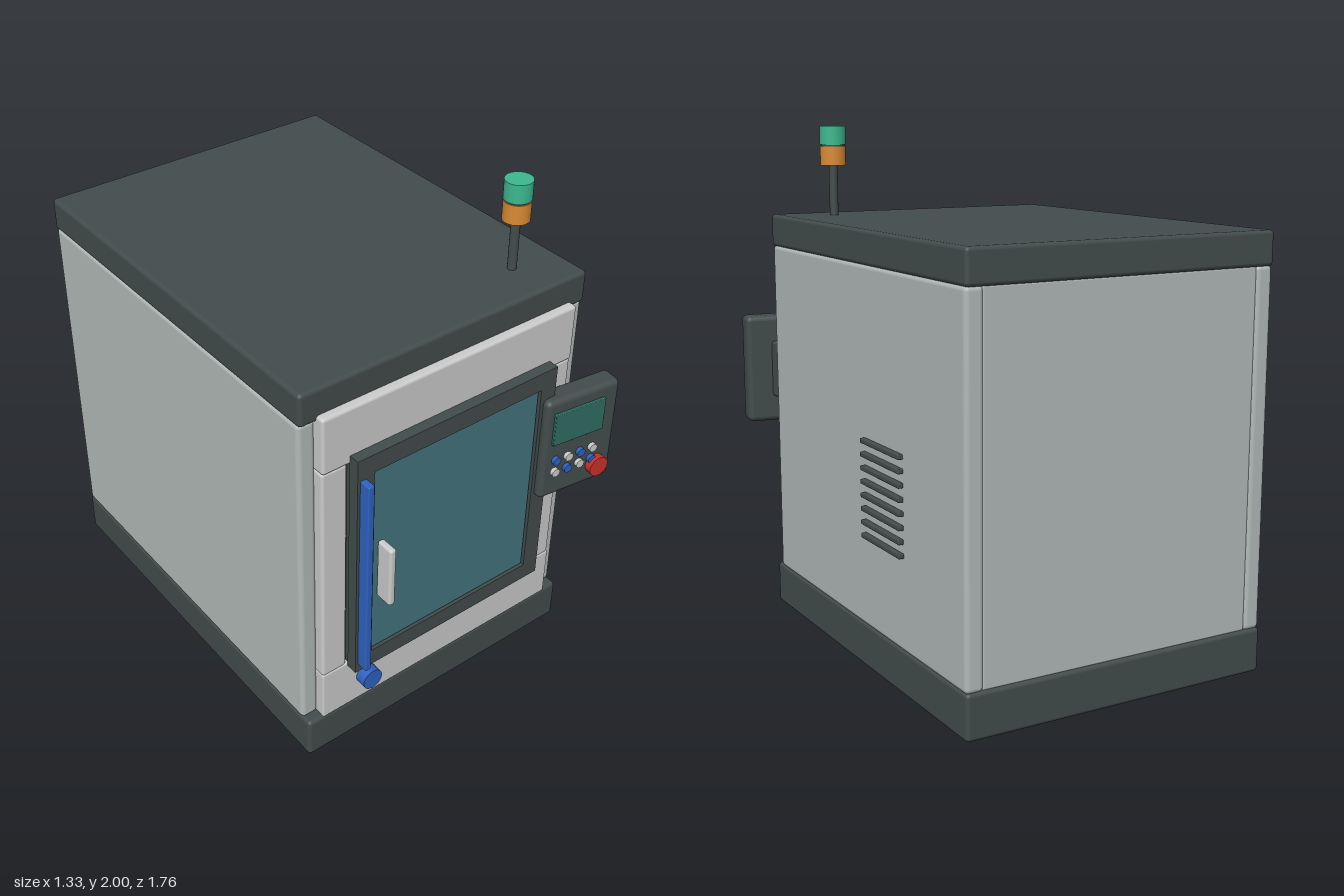
import * as THREE from 'three';
import { RoundedBoxGeometry } from 'three/addons/geometries/RoundedBoxGeometry.js';

const mat = (color) => new THREE.MeshStandardMaterial({ color });
const DARK = mat(0x434c4c), PANEL = mat(0xb2bab8), FRONT = mat(0xc8cac8), BLUE = mat(0x2f62c0),
  WHITE = mat(0xe0e0dc), GLASS = mat(0x43747f), SCREEN = mat(0x2e6b60), RED = mat(0xc8302a),
  GREEN = mat(0x3cb88e), ORANGE = mat(0xd98a34), BLACK = mat(0x222626);

export function createModel() {
  const root = new THREE.Group();

  const add = (name, geometry, material, parent = root) => {
    const mesh = new THREE.Mesh(geometry, material);
    mesh.name = name;
    parent.add(mesh);
    return mesh;
  };
  // box given by its limits on each axis, with rounded edges when r > 0
  const box = (name, [x0, x1], [y0, y1], [z0, z1], material, r = 0.012, parent = root) => {
    const size = [x1 - x0, y1 - y0, z1 - z0];
    const geometry = r > 0 ? new RoundedBoxGeometry(...size, 3, r) : new THREE.BoxGeometry(...size);
    const mesh = add(name, geometry, material, parent);
    mesh.position.set((x0 + x1) / 2, (y0 + y1) / 2, (z0 + z1) / 2);
    return mesh;
  };
  const upright = (name, x, z, y0, y1, r, material) => {
    const mesh = add(name, new THREE.CylinderGeometry(r, r, y1 - y0, 32), material);
    mesh.position.set(x, (y0 + y1) / 2, z);
  };
  // round button whose axis points to the front
  const button = (name, x, y, z0, z1, r, material, parent = root) => {
    const mesh = add(name, new THREE.CylinderGeometry(r, r, z1 - z0, 28).rotateX(Math.PI / 2), material, parent);
    mesh.position.set(x, y, (z0 + z1) / 2);
  };

  // base, feet and lid
  box('base', [-0.67, 0.57], [0.02, 0.19], [-0.88, 0.74], DARK, 0.015);
  box('lid', [-0.67, 0.57], [1.525, 1.652], [-0.88, 0.71], DARK, 0.015);
  for (const x of [-0.53, 0.425])
    for (const z of [-0.66, 0.63]) upright('foot', x, z, 0, 0.03, 0.053, BLACK);

  // cabinet walls
  box('core', [-0.62, 0.52], [0.18, 1.54], [-0.84, 0.69], PANEL, 0);
  box('leftSidePanel', [0.5, 0.57], [0.185, 1.53], [-0.875, 0.7], PANEL, 0.018);
  box('rightSidePanel', [-0.67, -0.6], [0.185, 1.53], [-0.875, 0.7], PANEL, 0.018);
  box('backPanel', [-0.605, 0.505], [0.185, 1.53], [-0.868, -0.8], PANEL, 0.01);

  // front fascia around the door
  box('header', [-0.605, 0.502], [1.325, 1.55], [0.62, 0.743], FRONT);
  box('lowerPanel', [-0.605, 0.502], [0.185, 0.4], [0.62, 0.74], FRONT, 0.006);
  box('frontPost', [-0.605, -0.5], [0.395, 1.327], [0.62, 0.738], FRONT);
  box('frontPost', [0.395, 0.502], [0.395, 1.327], [0.62, 0.738], FRONT);
  box('doorBacking', [-0.505, 0.4], [0.395, 1.33], [0.66, 0.72], DARK, 0);

  // door frame with a window opening
  const frame = new THREE.Shape([[-0.495, 0.388], [0.392, 0.388], [0.392, 1.36], [-0.495, 1.36]]
    .map(([x, y]) => new THREE.Vector2(x, y)));
  frame.holes.push(new THREE.Path([[-0.423, 0.458], [-0.423, 1.286], [0.322, 1.286], [0.322, 0.458]]
    .map(([x, y]) => new THREE.Vector2(x, y))));
  const door = add('doorFrame', new THREE.ExtrudeGeometry(frame, {
    depth: 0.045, bevelEnabled: false }), DARK);
  door.position.z = 0.74;
  box('doorSeal', [-0.49, 0.387], [0.395, 1.355], [0.71, 0.742], DARK, 0);
  box('window', [-0.417, 0.316], [0.464, 1.278], [0.74, 0.776], GLASS, 0);
  box('lightStrip', [-0.21, 0.105], [1.277, 1.286], [0.74, 0.77], WHITE, 0);
  box('doorStrip', [-0.484, -0.458], [0.425, 1.275], [0.78, 0.83], BLUE, 0.005);
  box('handle', [-0.404, -0.377], [0.718, 0.973], [0.78, 0.855], FRONT, 0.01);
  button('doorKnob', -0.412, 0.3, 0.735, 0.785, 0.042, BLUE);

  // control console, turned slightly inward
  box('consoleArm', [0.42, 0.565], [0.9, 1.13], [0.69, 0.77], DARK);
  const consoleGroup = new THREE.Group();
  consoleGroup.name = 'controlConsole';
  consoleGroup.position.set(0.5, 1.015, 0.792);
  consoleGroup.rotation.y = -0.13;
  root.add(consoleGroup);
  box('consoleBody', [-0.162, 0.162], [-0.22, 0.22], [-0.045, 0.045], DARK, 0.022, consoleGroup);
  box('screen', [-0.129, 0.094], [0.028, 0.167], [0.04, 0.056], SCREEN, 0.003, consoleGroup);
  for (let row = 0; row < 2; row++)
    for (let i = 0; i < 4; i++)
      button('keyButton', -0.105 + i * 0.055, -0.048 - row * 0.053, 0.04, 0.06, 0.017,
        (i + row) % 2 ? WHITE : BLUE, consoleGroup);
  button('stopButton', 0.084, -0.135, 0.04, 0.075, 0.041, RED, consoleGroup);

  // vent slats on the side wall
  for (let i = 0; i < 8; i++) {
    const y = 0.54 + i * 0.0507;
    box('ventSlat', [0.56, 0.59], [y - 0.009, y + 0.009], [-0.437, -0.132], DARK, 0.004);
  }

  // signal light
  upright('lightPole', 0.37, 0.54, 1.64, 1.86, 0.017, DARK);
  upright('amberLamp', 0.37, 0.54, 1.848, 1.922, 0.05, ORANGE);
  upright('lampSpacer', 0.37, 0.54, 1.92, 1.93, 0.046, DARK);
  upright('greenLamp', 0.37, 0.54, 1.928, 2.0, 0.051, GREEN);

  return root;
}
